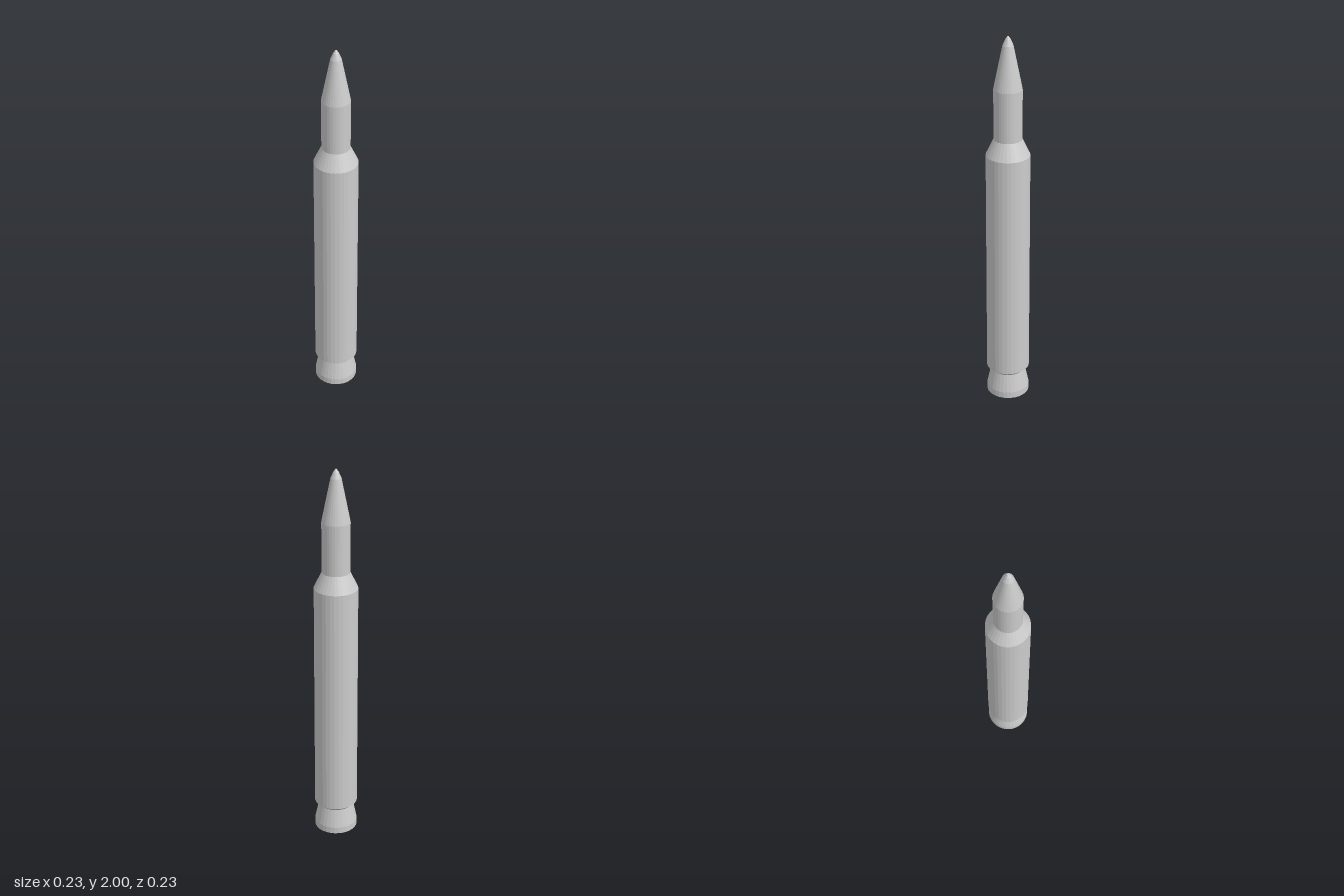
import * as THREE from 'three';

const SEGMENTS = 32;

export function createModel() {
  const model = new THREE.Group();
  model.name = 'cartridge';
  const material = new THREE.MeshStandardMaterial({ color: 0xcccccc, flatShading: true });

  // Turned part from [radius, height] pairs, listed bottom to top
  function addTurned(name, profile) {
    const points = profile.map(([r, y]) => new THREE.Vector2(r, y));
    const mesh = new THREE.Mesh(new THREE.LatheGeometry(points, SEGMENTS), material);
    mesh.name = name;
    model.add(mesh);
  }

  // Base rim flaring out below the extractor groove
  addTurned('rim', [[0, 0], [0.113, 0], [0.113, 0.035], [0.092, 0.135]]);

  // Case: bevelled lower edge, slightly tapered body, shoulder and neck
  addTurned('case', [
    [0.092, 0.135], [0.114, 0.155], [0.112, 1.39], [0.072, 1.475], [0.072, 1.735],
  ]);

  // Tapered nose with a small rounded point
  addTurned('nose', [
    [0.072, 1.735], [0.027, 1.955], [0.014, 1.985], [0.004, 2], [0, 2],
  ]);

  return model;
}
